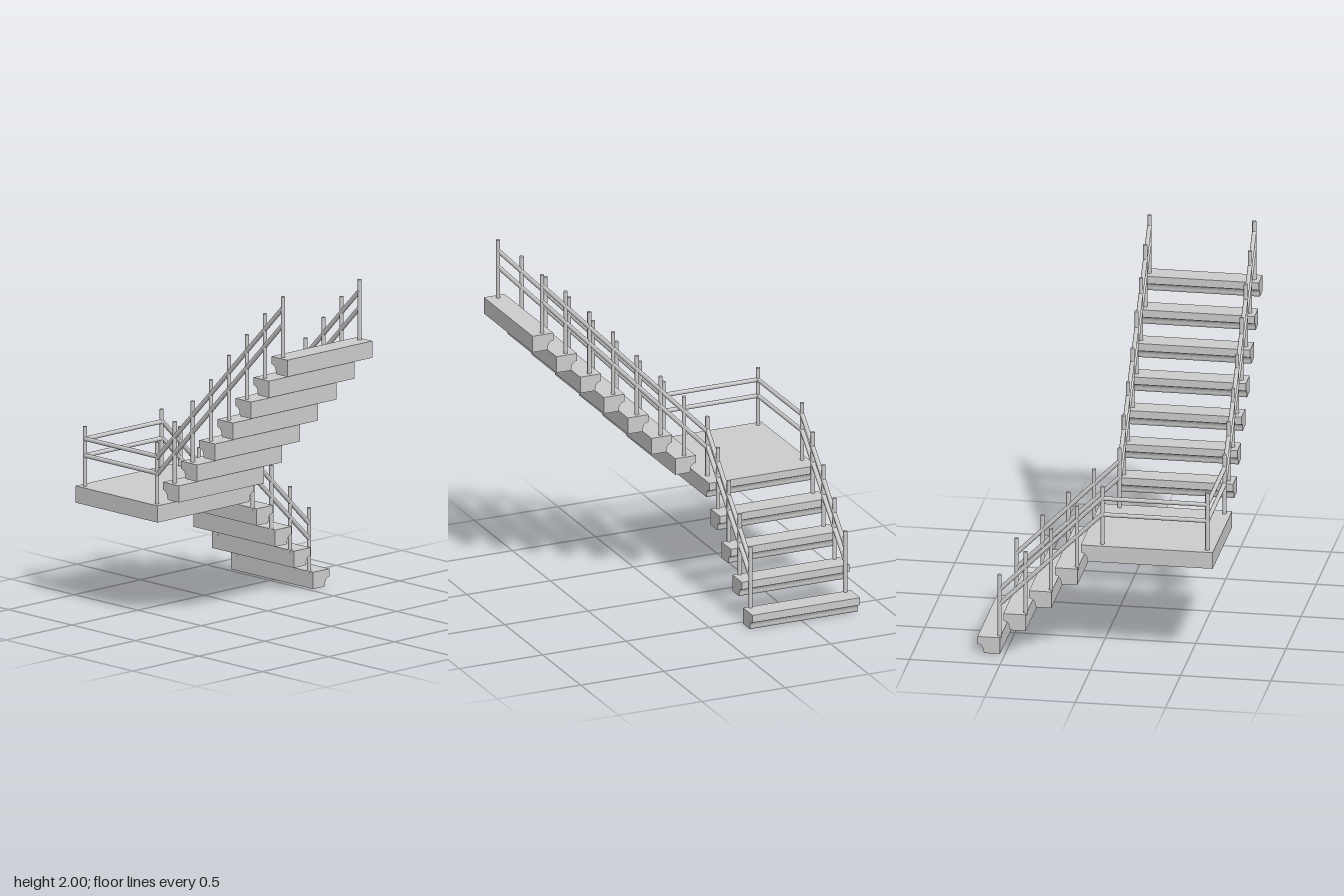
import * as THREE from 'three';

export function createModel() {
  const model = new THREE.Group();
  const mat = new THREE.MeshStandardMaterial({ color: 0xcccccc });
  const pitch = 0.1428, thick = 0.094, depth = 0.124, width = 0.645;
  const V = (x, y, z) => new THREE.Vector3(x, y, z);

  const add = (geometry, name) => {
    const mesh = new THREE.Mesh(geometry, mat);
    mesh.name = name;
    model.add(mesh);
  };

  // Slab with a coved nosing: nose at local x = 0, top at y = 0, extruded along z
  const slab = (d) => {
    const s = new THREE.Shape();
    s.moveTo(0, 0);
    s.lineTo(0, -0.043);
    s.bezierCurveTo(0.022, -0.044, 0.034, -0.06, 0.034, -0.084);
    s.lineTo(0.038, -thick);
    s.lineTo(d, -thick);
    s.lineTo(d, 0);
    s.closePath();
    return new THREE.ExtrudeGeometry(s, { depth: width, bevelEnabled: false, curveSegments: 6 });
  };

  // Round bar between two points
  const bar = (a, b, r, name) => {
    const dir = b.clone().sub(a);
    const g = new THREE.CylinderGeometry(r, r, dir.length(), 12);
    g.applyQuaternion(new THREE.Quaternion().setFromUnitVectors(V(0, 1, 0), dir.normalize()));
    const c = a.clone().add(b).multiplyScalar(0.5);
    add(g.translate(c.x, c.y, c.z), name);
  };
  const post = (x, z, bottom, top) => bar(V(x, bottom - 0.015, z), V(x, top, z), 0.0115, 'post');
  const rail = (a, b) => bar(a, b, 0.0125, 'rail');

  const railX = [-0.798, -0.23]; // sides of the lower flight
  const railZ = [0.034, 0.614];  // sides of the upper flight
  const landTop = 0.665;

  // Lower flight: treads climbing towards +z
  for (let i = 0; i < 4; i++) {
    const top = thick + i * pitch;
    add(slab(depth).rotateY(-Math.PI / 2).translate(-0.19, top, -0.652 + i * pitch), 'lowerTread');
    for (const x of railX) post(x, -0.536 + i * pitch, top, 0.45 + i * pitch);
  }

  // Landing and its corner posts
  add(slab(0.73).rotateY(-Math.PI / 2).translate(-0.19, landTop, -0.08), 'landing');
  for (const x of railX) for (const z of railZ) post(x, z, landTop, x < -0.5 ? 1.0 : 1.01);

  // Upper flight: treads climbing towards +x
  const postTops = [1.15, 1.29, 1.435, 1.597, 1.738, 1.88, 2.0];
  postTops.forEach((postTop, i) => {
    const top = 0.806 + i * 0.1425;
    add(slab(depth).translate(-0.148 + i * 0.1425, top, 0.003), 'upperTread');
    for (const z of railZ) post(-0.091 + i * 0.1421, z, top, postTop);
  });

  // Two parallel rails along each side
  for (const drop of [0, 0.094]) {
    const y = 0.93 - drop;
    for (const x of railX) rail(V(x, 0.362 - drop * 0.9, -0.536), V(x, y + 0.005, railZ[0]));
    for (const z of railZ) rail(V(railX[1], y - 0.008, z), V(0.762, 1.937 - drop, z));
    rail(V(railX[0], y, railZ[0]), V(railX[0], y, railZ[1]));
    rail(V(railX[0], y, railZ[1]), V(railX[1], y, railZ[1]));
  }
  return model;
}
